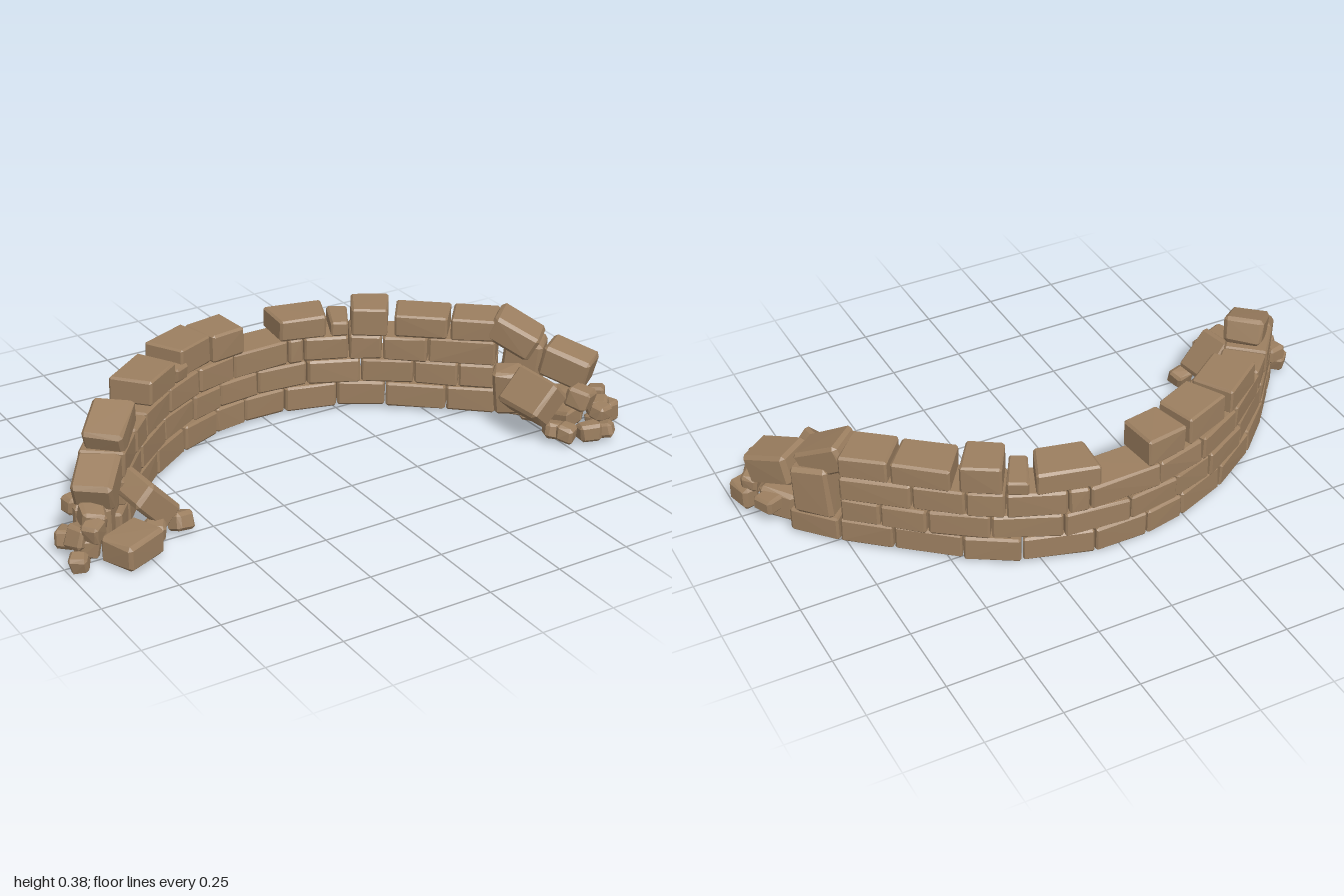
import * as THREE from 'three';
import { ConvexGeometry } from 'three/addons/geometries/ConvexGeometry.js';

const V = (x, y, z) => new THREE.Vector3(x, y, z);

// Small seeded generator for chips and uneven corners
let seed = 7;
function rand(a = -1, b = 1) {
  seed = (seed * 16807) % 2147483647;
  return a + (b - a) * seed / 2147483647;
}

// Middle line of the curved wall, seen from above
const line = new THREE.CatmullRomCurve3([
  [-0.92, 0.27], [-0.8, 0.11], [-0.65, -0.07], [-0.49, -0.21], [-0.27, -0.325], [0, -0.369],
  [0.22, -0.335], [0.43, -0.217], [0.6, -0.078], [0.77, 0.07], [0.92, 0.26],
].map(([x, z]) => V(x, 0, z)));
const HALF = 0.071;

// Point across the wall: side -1 is the outer face, +1 the inner face
function across(t, side) {
  const d = line.getTangent(t);
  return line.getPoint(t).add(V(-d.z, 0, d.x).normalize().multiplyScalar(HALF * side));
}

// Curve parameter whose inner face lies at x
function paramAt(x) {
  let lo = 0, hi = 1;
  for (let i = 0; i < 30; i++) {
    const mid = (lo + hi) / 2;
    if (across(mid, 1).x < x) lo = mid; else hi = mid;
  }
  return lo;
}

// Convex stone with bevelled corners; corner index bits are x, y, z
function bevelled(corners, bevel) {
  const points = [];
  corners.forEach((c, i) => {
    const edges = [1, 2, 4].map((bit) => corners[i ^ bit].clone().sub(c).normalize());
    for (let k = 0; k < 3; k++) {
      const p = c.clone();
      edges.forEach((e, j) => { if (j !== k) p.addScaledVector(e, bevel * rand(0.75, 1.25)); });
      points.push(p);
    }
  });
  return new ConvexGeometry(points);
}

export function createModel() {
  seed = 7;
  const group = new THREE.Group();
  const stone = new THREE.MeshStandardMaterial({ color: 0x9c7f60 });
  stone.name = 'sandstone';

  function add(name, geometry, parent = group) {
    const mesh = new THREE.Mesh(geometry, stone);
    mesh.name = name;
    parent.add(mesh);
    return mesh;
  }

  // Wedge-shaped brick that follows the wall between two x positions
  function wallBrick(name, parent, x0, x1, y0, y1) {
    const ts = [paramAt(x0 + 0.002), paramAt(x1 - 0.002)];
    const shift = rand(-0.05, 0.05);
    const corners = [];
    for (let i = 0; i < 8; i++) {
      const p = across(ts[i & 1], (i & 4 ? 1 : -1) * rand(0.98, 1.05) + shift);
      p.y = (i & 2 ? y1 : y0) + rand() * 0.0015;
      corners.push(p);
    }
    add(name, bevelled(corners, 0.007), parent);
  }

  // Loose block, uneven at its corners
  function loose(name, [x, y, z], [w, h, d], [rx, ry, rz], rough = 0.05, bevel = 0.012) {
    const corners = [];
    for (let i = 0; i < 8; i++) {
      corners.push(V(
        (i & 1 ? 0.5 : -0.5) * w * (1 + rand() * rough),
        (i & 2 ? 0.5 : -0.5) * h * (1 + rand() * rough),
        (i & 4 ? 0.5 : -0.5) * d * (1 + rand() * rough)));
    }
    const mesh = add(name, bevelled(corners, bevel));
    mesh.position.set(x, y, z);
    mesh.rotation.set(rx, ry, rz, 'YXZ');
  }

  // Three full courses: joints listed along the inner face
  const courses = [
    [0.006, 0.093, [-0.78, -0.72, -0.62, -0.5, -0.35, -0.2, -0.08, 0.075, 0.25, 0.39, 0.55, 0.68, 0.78]],
    [0.093, 0.178, [-0.75, -0.6, -0.45, -0.3, -0.18, -0.025, 0.155, 0.32, 0.465, 0.58, 0.675]],
    [0.178, 0.264, [-0.74, -0.64, -0.565, -0.42, -0.27, -0.12, 0.09, 0.145, 0.285, 0.38, 0.5, 0.675]],
  ];
  courses.forEach(([y0, y1, joints], n) => {
    const course = new THREE.Group();
    course.name = 'course' + (n + 1);
    group.add(course);
    for (let i = 0; i + 1 < joints.length; i++) {
      wallBrick('wallBrick', course, joints[i], joints[i + 1], y0, y1);
    }
  });

  // Broken top course
  const top = new THREE.Group();
  top.name = 'brokenTopCourse';
  group.add(top);
  for (const [x0, x1, y0, y1] of [
    [-0.53, -0.39, 0.264, 0.35], [-0.36, -0.218, 0.275, 0.37], [-0.21, -0.08, 0.264, 0.36],
    [0.06, 0.22, 0.264, 0.34], [0.23, 0.285, 0.264, 0.315], [0.29, 0.395, 0.264, 0.362],
    [0.41, 0.55, 0.264, 0.342], [0.555, 0.675, 0.264, 0.342],
  ]) wallBrick('topBrick', top, x0, x1, y0, y1);
  loose('wedgedChip', [-0.37, 0.295, -0.225], [0.06, 0.055, 0.06], [0.1, 0.4, 0.1], 0.1, 0.008);

  // Large fallen blocks at the +x end
  loose('leaningEndBlock', [0.79, 0.178, 0.08], [0.13, 0.175, 0.13], [0, -0.82, -0.08], 0.1);
  loose('tiltedBlock', [0.755, 0.285, 0.075], [0.17, 0.095, 0.135], [0, -0.85, -0.46]);
  loose('fallenBlock', [0.875, 0.2, 0.215], [0.165, 0.11, 0.13], [0, -0.95, -0.28]);
  loose('leaningBlock', [0.705, 0.13, 0.25], [0.14, 0.095, 0.18], [0.05, 0.12, 0.8]);
  loose('innerBlock', [0.705, 0.105, 0.12], [0.1, 0.16, 0.09], [0.1, -0.7, 0.1], 0.1);
  loose('groundBlock', [0.865, 0.055, 0.22], [0.12, 0.1, 0.11], [0, -0.8, 0.1], 0.1);
  loose('outerSlab', [0.965, 0.045, 0.305], [0.06, 0.078, 0.095], [0, 0.25, 0]);

  // Large fallen blocks at the -x end
  loose('tiltedBlock', [-0.735, 0.305, 0.04], [0.165, 0.09, 0.13], [0, 0.85, 0.36]);
  loose('fallenBlock', [-0.83, 0.195, 0.14], [0.15, 0.1, 0.13], [0, 0.9, 0.38]);
  loose('endBlock', [-0.84, 0.08, 0.14], [0.12, 0.13, 0.12], [0, 0.9, 0.05], 0.1);
  loose('leaningBlock', [-0.685, 0.11, 0.175], [0.16, 0.09, 0.14], [0.05, 0.1, -0.85]);
  loose('groundBlock', [-0.8, 0.045, 0.3], [0.16, 0.085, 0.125], [0, 0.42, 0]);

  // Small rubble: x, y, z, size
  for (const [x, y, z, s] of [
    [0.83, 0.036, 0.4, 0.065], [0.885, 0.035, 0.41, 0.06], [0.76, 0.035, 0.37, 0.065],
    [0.9, 0.09, 0.345, 0.065], [0.84, 0.13, 0.33, 0.075], [0.87, 0.1, 0.405, 0.055],
    [0.94, 0.105, 0.29, 0.065], [0.74, 0.035, 0.33, 0.06], [0.91, 0.04, 0.35, 0.065],
    [0.92, 0.07, 0.19, 0.07], [0.76, 0.05, 0.2, 0.08], [0.81, 0.05, 0.29, 0.075],
    [-0.965, 0.03, 0.285, 0.055], [-0.93, 0.07, 0.21, 0.07], [-0.94, 0.04, 0.15, 0.065],
    [-0.9, 0.1, 0.25, 0.065], [-0.91, 0.04, 0.22, 0.075], [-0.88, 0.12, 0.21, 0.07],
    [-0.6, 0.035, 0.225, 0.06], [-0.7, 0.04, 0.25, 0.065], [-0.62, 0.04, 0.13, 0.055],
    [-0.89, 0.12, 0.1, 0.06],
  ]) {
    loose('rubble', [x, y, z], [s * rand(0.95, 1.2), s * rand(0.8, 1), s * rand(0.9, 1.1)],
      [rand() * 0.3, rand() * 1.2, rand() * 0.3], 0.15, 0.01);
  }
  return group;
}
